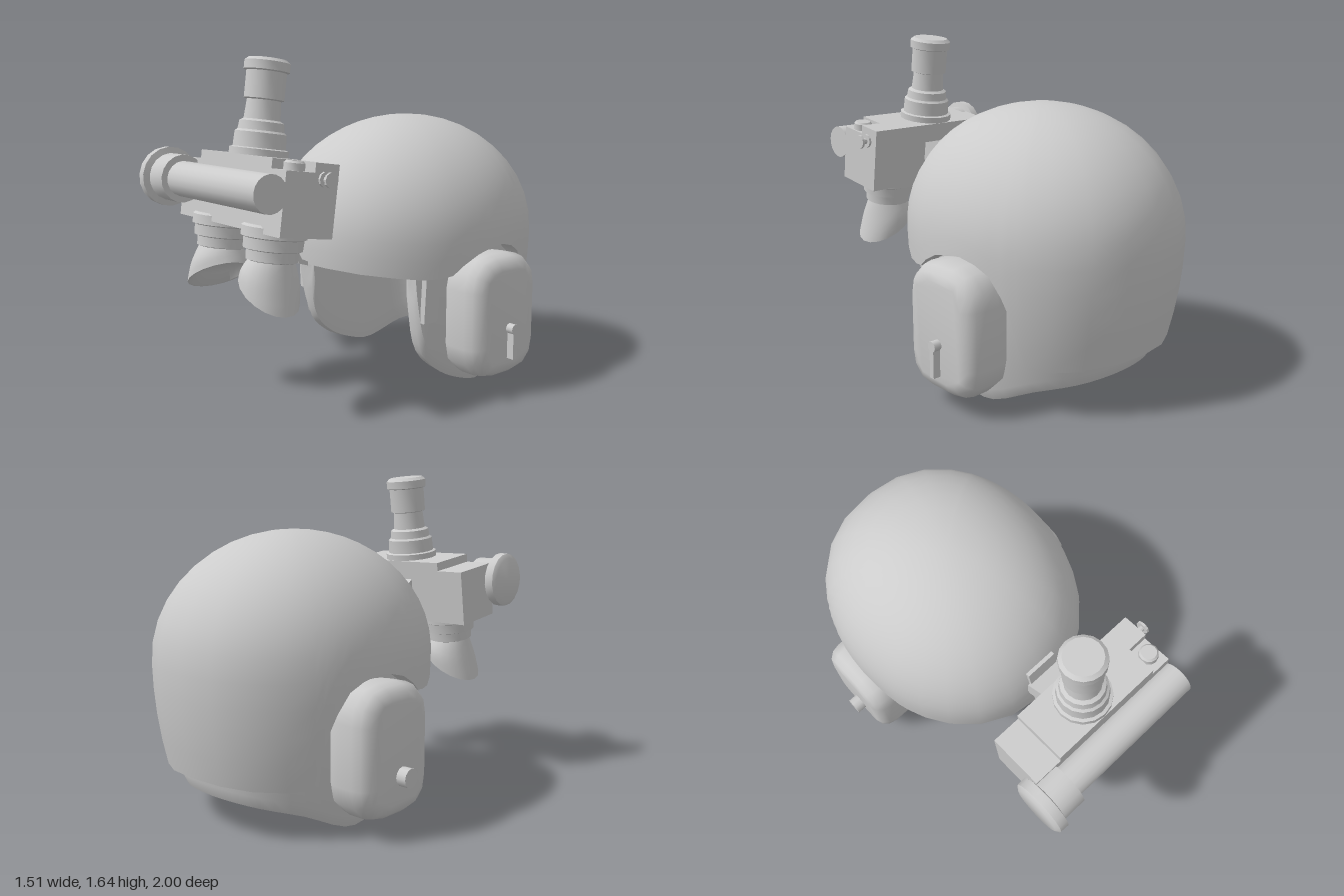
import * as THREE from 'three';
import { toCreasedNormals } from 'three/addons/utils/BufferGeometryUtils.js';

const grey = new THREE.MeshStandardMaterial({ color: 0xcccccc });
const V = (x, y, z) => new THREE.Vector3(x, y, z);

function add(parent, name, geo, x = 0, y = 0, z = 0) {
  const m = new THREE.Mesh(geo, grey);
  m.name = name;
  m.position.set(x, y, z);
  parent.add(m);
  return m;
}

// Skin over a list of closed rings with equal point counts
function loft(rings, crease = 0.8) {
  const n = rings[0].length, pos = [], idx = [];
  rings.forEach(r => r.forEach(p => pos.push(p.x, p.y, p.z)));
  for (let i = 0; i < rings.length - 1; i++) for (let j = 0; j < n; j++) {
    const a = i * n + j, b = i * n + (j + 1) % n, c = a + n, d = b + n;
    idx.push(a, c, b, b, c, d);
  }
  const g = new THREE.BufferGeometry();
  g.setAttribute('position', new THREE.Float32BufferAttribute(pos, 3));
  g.setIndex(idx);
  return toCreasedNormals(g, crease);
}

const centreRing = ring => {
  const c = V(0, 0, 0);
  ring.forEach(p => c.addScaledVector(p, 1 / ring.length));
  return ring.map(() => c.clone());
};

// Turned part; profile runs from low y to high y
const turned = (pts, seg = 16) =>
  toCreasedNormals(new THREE.LatheGeometry(pts.map(p => new THREE.Vector2(...p)), seg), 0.6);

// Side profile in (z, y), extruded across x and centred
function acrossX(shape, width, bevel = {}) {
  const g = new THREE.ExtrudeGeometry(shape, { depth: width, bevelEnabled: false, curveSegments: 3, ...bevel });
  g.translate(0, 0, -width / 2);
  g.rotateY(-Math.PI / 2);
  return toCreasedNormals(g, 0.75);
}
const poly = pts => new THREE.Shape(pts.map(p => new THREE.Vector2(...p)));

// Helmet dome: rim height by angle from the front, in degrees
const RIM = [[0, .65], [16, .645], [32, .63], [46, .615], [58, .6], [66, .6], [71, .61], [76, .655], [83, .7],
  [90, .722], [97, .73], [104, .71], [110, .67], [115, .58], [118, .5], [121, .38], [124, .24],
  [135, .235], [150, .24], [165, .25], [180, .255]];

function domeGeometry() {
  const half = RIM.slice(1, -1);
  const columns = [...RIM, ...half.reverse().map(([a, y]) => [360 - a, y])];
  const ring = (t, inset) => columns.map(([deg, rim]) => {
    const a = deg * Math.PI / 180, s = Math.sin(a), c = Math.cos(a);
    const top = 1.355 - inset;
    const y = rim + (top - rim) * Math.sin(t * Math.PI / 2);
    const k = y > 0.75 ? Math.sqrt(Math.max(0, 1 - ((y - 0.75) / (top - 0.75)) ** 2)) : 1 - 0.35 * (0.75 - y) ** 2;
    return V((0.625 - inset) * k * Math.sign(s) * Math.abs(s) ** 0.9, y,
      -0.3 + ((c > 0 ? 0.72 : 0.7) - inset) * k * c);
  });
  const rings = [], N = 14;
  for (let i = N; i >= 0; i--) rings.push(ring(i / N, 0));
  for (let i = 0; i <= N; i++) rings.push(ring(i / N, 0.065));
  return loft(rings);
}

// Padded skirt below the dome: plan position and bottom height, from left front round the back
function linerGeometry() {
  const left = [[.47, .6, .07], [.475, .4, .05], [.48, .2, 0], [.49, .1, -.1], [.5, .04, -.22],
    [.495, .0, -.4], [.42, .09, -.64], [.25, .135, -.81]];
  const pts = [...left, [0, .145, -.86], ...left.slice().reverse().map(([x, y, z]) => [-x, y, z])];
  const curve = new THREE.CatmullRomCurve3(pts.map(p => V(...p)));
  const rings = [];
  for (let i = 0; i <= 56; i++) {
    const p = curve.getPoint(i / 56), t = curve.getTangent(i / 56);
    const n = V(t.z, 0, -t.x).normalize();
    const at = (off, y) => V(p.x + n.x * off, y, p.z + n.z * off);
    rings.push([at(.03, p.y), at(0, p.y + .06), at(0, .75), at(.1, .75), at(.1, p.y + .11), at(.08, p.y + .005)]);
  }
  return loft([centreRing(rings[0]), ...rings, centreRing(rings[56])]);
}

function roundedRect(w, h, r) {
  const s = new THREE.Shape(), x = w / 2, y = h / 2;
  s.moveTo(-x + r, -y).lineTo(x - r, -y).quadraticCurveTo(x, -y, x, -y + r);
  s.lineTo(x, y - r).quadraticCurveTo(x, y, x - r, y);
  s.lineTo(-x + r, y).quadraticCurveTo(-x, y, -x, y - r);
  s.lineTo(-x, -y + r).quadraticCurveTo(-x, -y, -x + r, -y);
  return s;
}

// Eyecup: flares to an oblique rim that is lowest on the outer side, with a dished inside
function eyecupGeometry(side) {
  const ring = (s, k = 1, lift = 0) => Array.from({ length: 18 }, (_, j) => {
    const a = j / 18 * Math.PI * 2, c = Math.cos(a);
    const r = (0.105 + 0.04 * s) * k;
    const rz = (0.105 + 0.037 * Math.sin(Math.min(1, s * 1.4) * Math.PI / 2)) * k;
    return V(side * (0.005 * s + r * c), -0.27 + lift - s * (0.145 + 0.085 * c * k), -side * rz * Math.sin(a));
  });
  return loft([ring(0), ring(.2), ring(.4), ring(.6), ring(.8), ring(1), ring(1, .92),
    ring(.8, .75, .01), ring(.6, .45), ring(.55, 0)]);
}

function buildGoggles() {
  const g = new THREE.Group();
  g.name = 'goggles';
  g.position.set(0, 1.0, 0.655);
  g.rotation.x = -0.14;

  // Housing with raised deck
  add(g, 'housing', new THREE.BoxGeometry(.86, .285, .28), 0, -.002, 0);
  add(g, 'housingDeck', new THREE.BoxGeometry(.6, .045, .28), .02, .162, 0);
  add(g, 'housingDeckCorner', new THREE.BoxGeometry(.11, .045, .13), .375, .162, -.075);
  add(g, 'topKnob', turned([[0, 0], [.047, 0], [.047, .035], [.038, .045], [0, .045]], 12), .375, .138, .062);

  // Adjuster on the left end
  const adjuster = turned([[0, 0], [.035, 0], [.035, .012], [.016, .012], [.016, .04], [.035, .04], [.035, .052], [0, .052]], 10);
  adjuster.rotateZ(-Math.PI / 2);
  add(g, 'sideAdjuster', adjuster, .43, .115, -.065);

  // Horizontal scope tube along the front
  const scope = turned([[0, -.5], [.12, -.5], [.143, -.485], [.145, -.44], [.115, -.432], [.115, -.31],
    [.085, -.31], [.085, .43], [0, .43]], 18);
  scope.rotateZ(-Math.PI / 2);
  add(g, 'scopeTube', scope, 0, .036, .206);

  // Upright lens barrel
  add(g, 'lensBarrel', turned([[0, .17], [.14, .17], [.14, .215], [.125, .22], [.122, .29], [.11, .3], [.105, .34],
    [.087, .35], [.08, .44], [.095, .445], [.095, .57], [.108, .575], [.108, .615], [.09, .63], [0, .63]]));

  // Eyepieces
  for (const side of [1, -1]) {
    const e = new THREE.Group();
    e.name = side > 0 ? 'leftEyepiece' : 'rightEyepiece';
    e.position.set(side * .217, 0, .02);
    add(e, 'eyepieceRings', turned([[0, -.31], [.1, -.31], [.104, -.275], [.118, -.27], [.12, -.225], [.135, -.22],
      [.138, -.17], [.15, -.165], [.15, -.12], [.138, -.11], [0, -.11]], 18));
    add(e, 'eyecup', eyecupGeometry(side));
    g.add(e);
  }
  return g;
}

export function createModel() {
  const model = new THREE.Group();
  model.name = 'helmetWithGoggles';
  add(model, 'dome', domeGeometry());
  add(model, 'liner', linerGeometry());

  // Ear cups and strap plates on both sides
  const cup = acrossX(roundedRect(.31, .47, .1), .08,
    { bevelEnabled: true, bevelSize: .07, bevelThickness: .09, bevelSegments: 3 });
  for (const side of [1, -1]) {
    const name = side > 0 ? 'left' : 'right';
    add(model, name + 'EarCup', cup, side * (side > 0 ? .585 : .575), .385, -.335);
    const plate = add(model, name + 'StrapPlate', new THREE.BoxGeometry(.03, .26, .09), side * .495, .5, -.01);
    plate.rotation.z = -side * .06;
  }

  // Lever on the left cup, round knob on the right cup
  add(model, 'lever', new THREE.BoxGeometry(.05, .15, .026), .728, .255, -.34);
  const pivot = new THREE.CylinderGeometry(.025, .025, .05, 12);
  pivot.rotateZ(Math.PI / 2);
  add(model, 'leverPivot', pivot, .728, .33, -.34);
  const knob = new THREE.CylinderGeometry(.045, .045, .07, 12);
  knob.rotateZ(Math.PI / 2);
  add(model, 'earCupKnob', knob, -.72, .275, -.32);

  // Bracket hooked over the brow, and the arm to the goggles
  add(model, 'browBracket', acrossX(poly([[.35, 1.04], [.42, .84], [.465, .71], [.45, .68], [.415, .665], [.415, .645],
    [.465, .66], [.487, .71], [.44, .84], [.37, 1.045]]), .17));
  add(model, 'mountArm', acrossX(poly([[.53, .98], [.515, 1.075], [.385, .97], [.39, .88], [.41, .88]]), .2));

  model.add(buildGoggles());
  return model;
}
